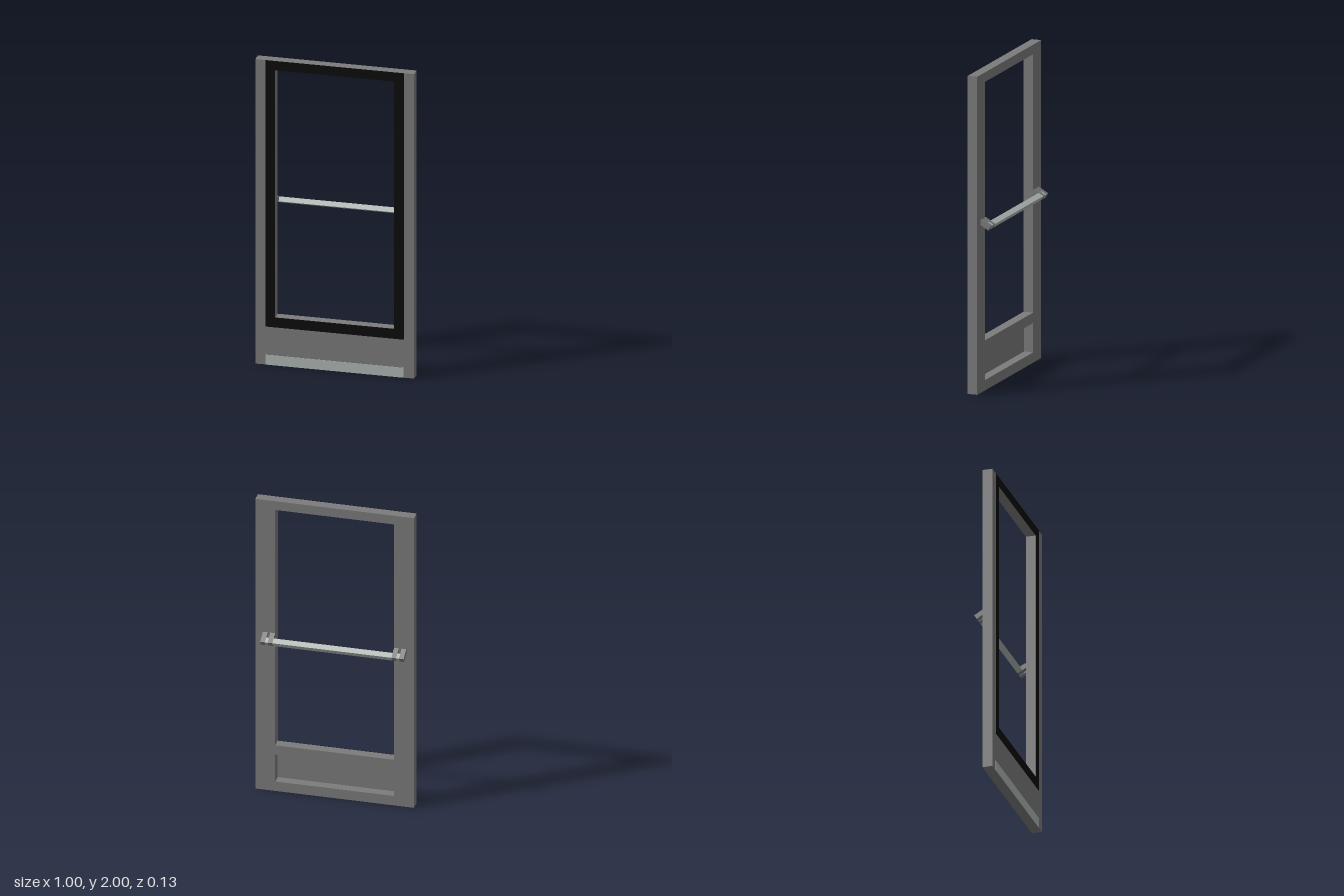
import * as THREE from 'three';

const material = (name, color) => {
  const m = new THREE.MeshStandardMaterial({ color });
  m.name = name;
  return m;
};

// Closed rectangle path: half width, bottom, top
function rectangle(path, hw, y0, y1) {
  path.moveTo(-hw, y0);
  path.lineTo(hw, y0);
  path.lineTo(hw, y1);
  path.lineTo(-hw, y1);
  path.closePath();
  return path;
}

export function createModel() {
  const group = new THREE.Group();
  const frameGrey = material('frame grey', 0x7c7c7c);
  const trimBlack = material('trim black', 0x0b0b0b);
  const paleMetal = material('pale metal', 0xb0b8b4);

  const DOOR = 0.063;    // door thickness
  const OPEN = 0.375;    // half width of the openings
  const TRIM = 0.435;    // half width of the front trim
  const FACE = 0.002;    // thickness of the front plates

  const add = (name, geometry, mat, parent = group) => {
    const mesh = new THREE.Mesh(geometry, mat);
    mesh.name = name;
    parent.add(mesh);
    return mesh;
  };

  // Flat plate with rectangular holes, extruded towards the front
  const plate = (hw, y0, y1, depth, holes = []) => {
    const shape = rectangle(new THREE.Shape(), hw, y0, y1);
    for (const h of holes) shape.holes.push(rectangle(new THREE.Path(), ...h));
    return new THREE.ExtrudeGeometry(shape, { depth, bevelEnabled: false });
  };

  // Door frame with window opening and lower panel recess
  add('doorFrame', plate(0.5, 0, 2, DOOR, [[OPEN, 0.315, 1.94], [OPEN, 0.065, 0.25]]), frameGrey);

  // Thin lower panel flush with the front, recessed at the back
  add('lowerPanel', plate(OPEN, 0.065, 0.25, 0.003), frameGrey).position.z = DOOR - 0.003;

  // Black border around the window and pale strip at the foot
  add('windowTrim', plate(TRIM, 0.25, 2, FACE, [[OPEN, 0.315, 1.94]]), trimBlack).position.z = DOOR;
  add('kickStrip', plate(TRIM, 0, 0.065, FACE), paleMetal).position.z = DOOR;

  // Push bar on the back, tilted down away from the door;
  // local origin is the upper back edge, local +z runs along the arms to the door
  const handle = new THREE.Group();
  handle.name = 'pushBar';
  handle.position.set(0, 1.054, -0.068);
  handle.rotation.x = -Math.PI / 6;
  group.add(handle);

  const THICK = 0.031;
  const bar = (name, x0, x1, length, mat) => {
    const mesh = add(name, new THREE.BoxGeometry(x1 - x0, THICK, length), mat, handle);
    mesh.position.set((x0 + x1) / 2, -THICK / 2, length / 2);
  };
  bar('bar', -0.375, 0.375, 0.036, paleMetal);
  for (const [side, s] of [['left', 1], ['right', -1]]) {
    const mirrored = (name, a, b, length, mat) =>
      bar(side + name, Math.min(s * a, s * b), Math.max(s * a, s * b), length, mat);
    mirrored('InnerArm', 0.375, 0.405, 0.074, frameGrey);
    mirrored('BarEnd', 0.405, 0.422, 0.036, paleMetal);
    mirrored('OuterArm', 0.422, 0.452, 0.074, frameGrey);
  }

  return group;
}
